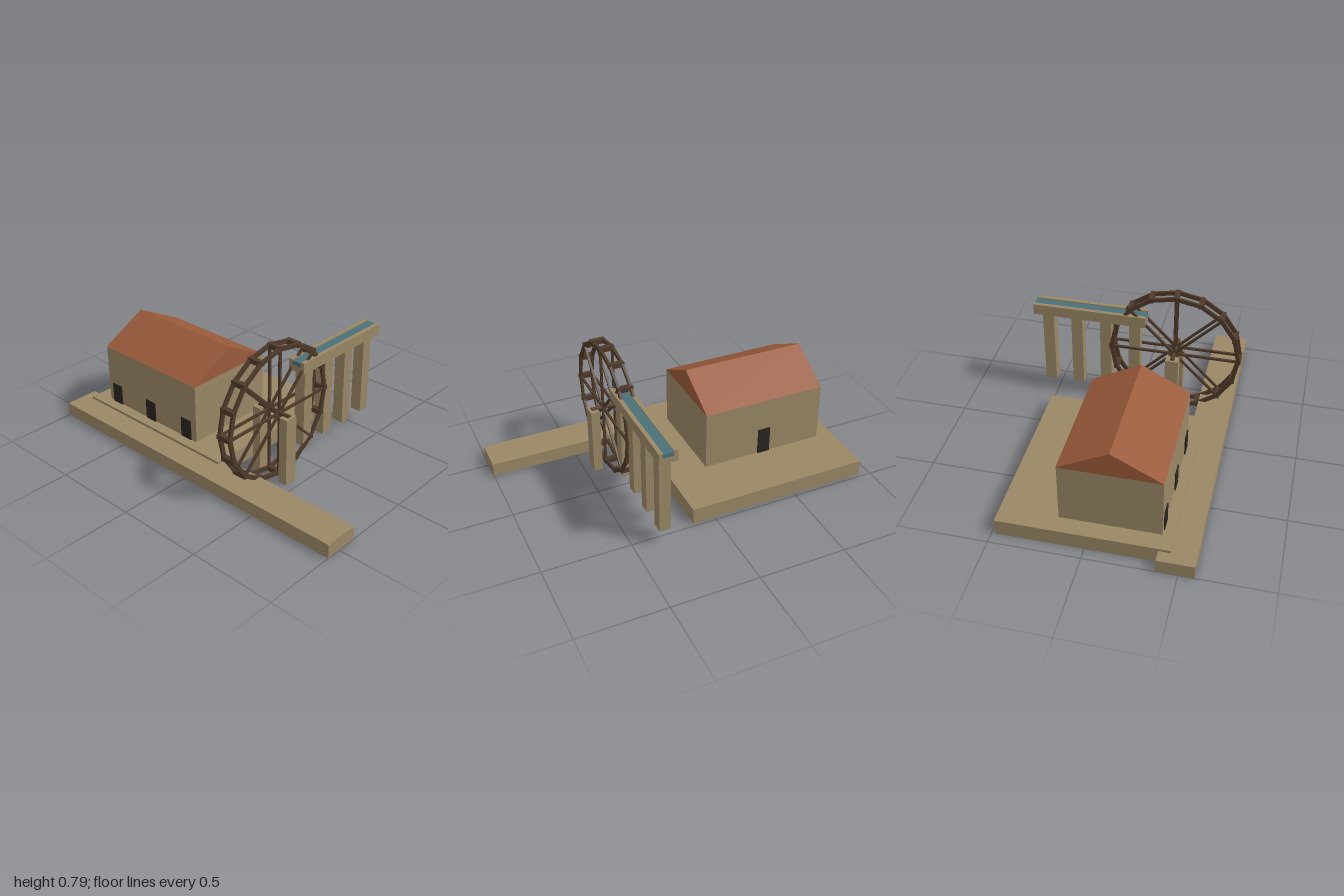
import * as THREE from 'three';

const mat = (color) => new THREE.MeshStandardMaterial({ color, side: THREE.DoubleSide, flatShading: true });

export function createModel() {
  const model = new THREE.Group();
  const stone = mat(0x9a8866), tile = mat(0x9a5a3a), wood = mat(0x4f3a2a);
  const dark = mat(0x2a2420), water = mat(0x4a7078);

  function add(parent, name, geometry, material) {
    const mesh = new THREE.Mesh(geometry, material);
    mesh.name = name;
    parent.add(mesh);
    return mesh;
  }

  // Box given by its extents along each axis
  function block(parent, name, [x0, x1], [y0, y1], [z0, z1], material, openBottom = false) {
    const g = new THREE.BoxGeometry(x1 - x0, y1 - y0, z1 - z0);
    if (openBottom) {
      const index = Array.from(g.index.array);
      index.splice(18, 6); // drop the downward face
      g.setIndex(index);
      g.clearGroups();
    }
    g.translate((x0 + x1) / 2, (y0 + y1) / 2, (z0 + z1) / 2);
    return add(parent, name, g, material);
  }

  // Hollow ground slabs
  block(model, 'yardSlab', [-0.935, 0.13], [0, 0.095], [-0.48, 0.45], stone, true);
  block(model, 'frontSlab', [-1, 1], [0, 0.08], [0.385, 0.585], stone, true);

  // Mill house with gable roof
  const house = new THREE.Group();
  house.name = 'millHouse';
  model.add(house);
  block(house, 'walls', [-0.835, -0.1], [0.095, 0.445], [-0.16, 0.388], stone);
  const gable = new THREE.Shape([
    new THREE.Vector2(-0.39, 0.445),
    new THREE.Vector2(0.162, 0.445),
    new THREE.Vector2(-0.114, 0.59),
  ]);
  const roofGeo = new THREE.ExtrudeGeometry(gable, { depth: 0.737, bevelEnabled: false });
  roofGeo.rotateY(Math.PI / 2).translate(-0.836, 0, 0);
  add(house, 'roof', roofGeo, tile);
  for (const x of [-0.763, -0.47, -0.178]) {
    block(house, 'frontDoor', [x - 0.038, x + 0.038], [0.093, 0.215], [0.38, 0.394], dark);
  }
  block(house, 'backDoor', [-0.508, -0.432], [0.093, 0.255], [-0.166, -0.15], dark);

  // Water wheel, turning about the x axis
  const wheel = new THREE.Group();
  wheel.name = 'waterWheel';
  wheel.position.set(0.332, 0.402, 0.225);
  model.add(wheel);
  const SIDES = 16, R = 0.375;
  const ring = (r) => Array.from({ length: SIDES }, (_, i) => {
    const a = (i * 2 * Math.PI) / SIDES;
    return new THREE.Vector2(r * Math.cos(a), r * Math.sin(a));
  });
  const rimShape = new THREE.Shape(ring(R + 0.012));
  rimShape.holes.push(new THREE.Path(ring(R - 0.012)));
  const rimGeo = new THREE.ExtrudeGeometry(rimShape, { depth: 0.014, bevelEnabled: false });
  rimGeo.translate(0, 0, -0.007).rotateY(Math.PI / 2);
  const spokeGeo = new THREE.BoxGeometry(0.013, 2 * R, 0.013);
  for (const x of [-0.035, 0.035]) {
    add(wheel, 'rim', rimGeo, wood).position.x = x;
    for (let i = 0; i < 4; i++) {
      const spoke = add(wheel, 'spokePair', spokeGeo, wood);
      spoke.position.x = x;
      spoke.rotation.x = (i * Math.PI) / 4;
    }
  }
  const paddleGeo = new THREE.BoxGeometry(0.088, 0.028, 0.028);
  for (const p of ring(R)) add(wheel, 'paddle', paddleGeo, wood).position.set(0, p.y, p.x);
  const axleGeo = new THREE.CylinderGeometry(0.013, 0.013, 0.212, 8);
  add(wheel, 'axle', axleGeo.rotateZ(Math.PI / 2), wood);

  // Piers carrying the axle
  for (const x of [0.239, 0.427]) {
    block(model, 'axlePier', [x - 0.026, x + 0.026], [0, 0.402], [0.187, 0.264], stone);
  }

  // Raised water channel on four posts
  const channel = new THREE.Group();
  channel.name = 'aqueduct';
  model.add(channel);
  const length = [-0.615, 0.052];
  block(channel, 'channelFloor', [0.281, 0.385], [0.565, 0.6], length, stone);
  block(channel, 'channelWall', [0.281, 0.304], [0.6, 0.63], length, stone);
  block(channel, 'channelWall', [0.362, 0.385], [0.6, 0.63], length, stone);
  block(channel, 'water', [0.304, 0.362], [0.6, 0.624], length, water);
  for (let i = 0; i < 4; i++) {
    const z = -0.014 - i * 0.173;
    block(channel, 'channelPost', [0.3, 0.366], [0.095, 0.565], [z - 0.033, z + 0.033], stone);
  }

  return model;
}
